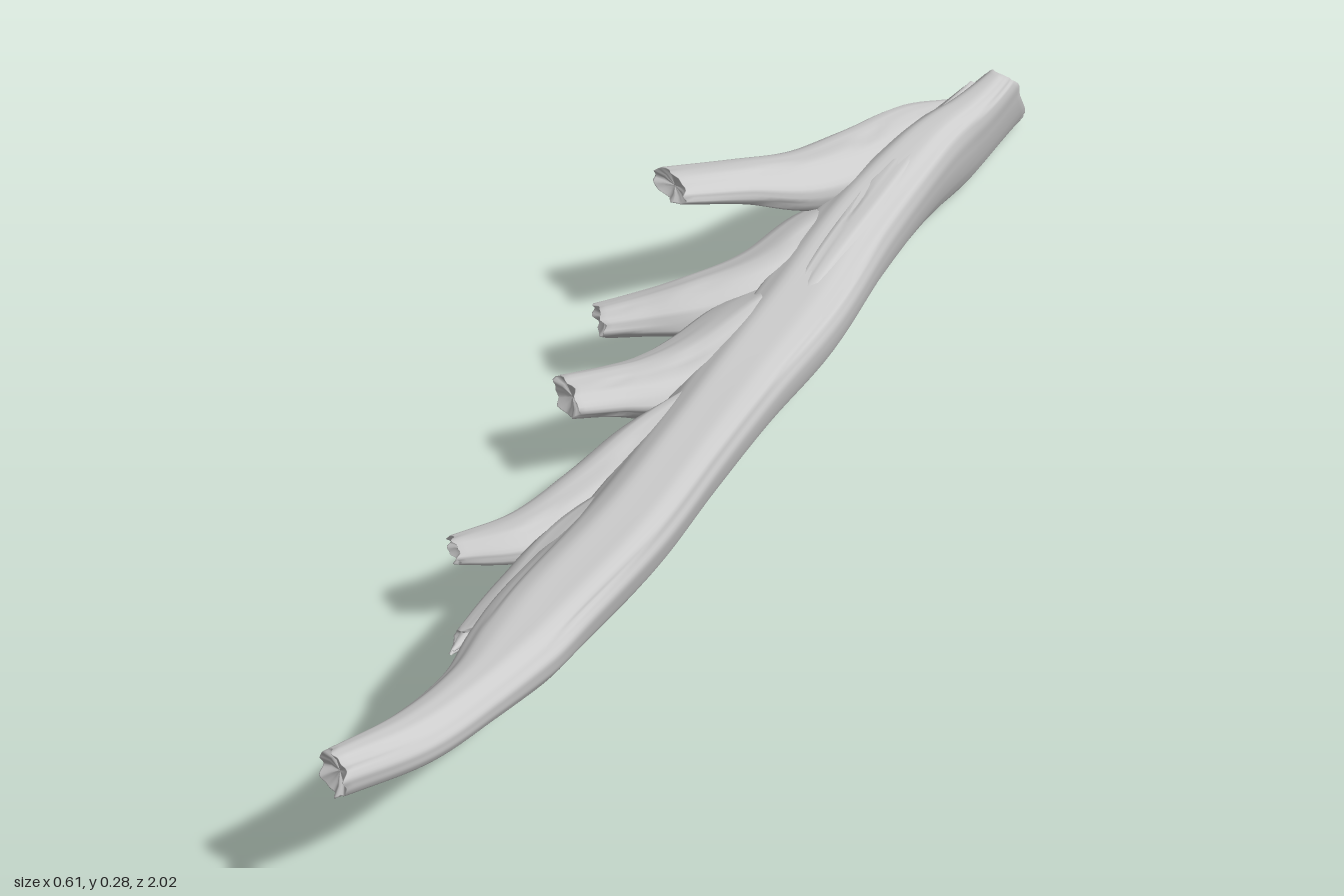
import * as THREE from 'three';

const material = new THREE.MeshStandardMaterial({ color: 0xcccccc, side: THREE.DoubleSide });
const UP = new THREE.Vector3(0, 1, 0);

// Wood grain: long ridges that twist slowly along the limb, with a few narrow cracks
function grain(a, t, seed) {
  const ridges = 0.5 * Math.sin(3 * a + seed + 2.5 * t)
    + 0.4 * Math.sin(7 * a + 2 * seed - 3 * t)
    + 0.25 * Math.sin(13 * a + seed + 4 * t);
  const crack = Math.pow(Math.max(0, Math.sin(4 * a + 3 * seed + 1.5 * t)), 24)
    * Math.max(0, Math.sin(19 * t + seed));
  return ridges - 1.3 * crack;
}

// Lofts a limb through stations [x, y, z, half width, half height], with hollow broken ends.
// slant tilts the back cut, lean tips the section sideways, square boxes it; all fade out at the tip.
function limb(name, stations, { sides = 36, steps = 36, amp = 0.07, seed = 0, slant = 0, lean = 0, square = 1, ragged = 0.003, hollow = 0.01 } = {}) {
  const path = new THREE.CatmullRomCurve3(stations.map(s => new THREE.Vector3(s[0], s[1], s[2])), false, 'catmullrom');
  const size = new THREE.CatmullRomCurve3(stations.map(s => new THREE.Vector3(s[3], s[4], 0)), false, 'catmullrom');
  const positions = [], index = [];
  let rings = 0;

  function ring(t, scale, push) {
    const c = path.getPoint(t), r = size.getPoint(t), T = path.getTangent(t);
    const S = new THREE.Vector3().crossVectors(UP, T).normalize();
    const U = new THREE.Vector3().crossVectors(T, S);
    const shear = slant * Math.max(0, 1 - t / 0.2);
    const nearEnd = Math.max(0, 1 - 12 * Math.min(t, 1 - t));
    const fade = THREE.MathUtils.smoothstep(t, 0.6, 0.95);
    const power = square + (1 - square) * fade;
    for (let j = 0; j < sides; j++) {
      const a = j / sides * Math.PI * 2;
      const k = scale * (1 + amp * grain(a, t, seed));
      const ca = Math.cos(a), sa = Math.sin(a);
      const v = r.y * k * Math.sign(sa) * Math.pow(Math.abs(sa), power);
      const u = r.x * k * Math.sign(ca) * Math.pow(Math.abs(ca), power) + v * lean * (1 - fade);
      const w = v * shear + push + scale * nearEnd * ragged * (Math.sin(5 * a + seed) + 0.6 * Math.sin(9 * a));
      const p = c.clone().addScaledVector(S, u).addScaledVector(U, v).addScaledVector(T, w);
      positions.push(p.x, Math.max(0, p.y), p.z);
    }
    rings++;
  }

  ring(0, 0, hollow); ring(0, 0.6, hollow * 0.7); ring(0, 0.95, 0);
  for (let i = 0; i <= steps; i++) ring(i / steps, 1, 0);
  ring(1, 0.94, 0); ring(1, 0.6, -0.006); ring(1, 0, -0.009);

  for (let i = 0; i < rings - 1; i++) {
    for (let j = 0; j < sides; j++) {
      const n = (j + 1) % sides;
      const a = i * sides + j, b = i * sides + n, c = a + sides, d = b + sides;
      index.push(a, b, c, b, d, c);
    }
  }
  const geometry = new THREE.BufferGeometry();
  geometry.setAttribute('position', new THREE.Float32BufferAttribute(positions, 3));
  geometry.setIndex(index);
  geometry.computeVertexNormals();
  const mesh = new THREE.Mesh(geometry, material);
  mesh.name = name;
  return mesh;
}

export function createModel() {
  const group = new THREE.Group();
  group.name = 'driftwood';

  // Main trunk: tall and slant-cut at the back, its crest leaning to the left, curled at the front
  group.add(limb('trunk', [
    [0.262, 0.107, -0.9, 0.032, 0.102],
    [0.207, 0.108, -0.75, 0.046, 0.102],
    [0.137, 0.106, -0.6, 0.062, 0.098],
    [0.07, 0.1, -0.4, 0.075, 0.087],
    [0.022, 0.092, -0.2, 0.08, 0.076],
    [-0.026, 0.1, 0, 0.072, 0.067],
    [-0.062, 0.12, 0.2, 0.067, 0.066],
    [-0.096, 0.146, 0.4, 0.067, 0.063],
    [-0.14, 0.182, 0.6, 0.066, 0.052],
    [-0.158, 0.2, 0.7, 0.06, 0.042],
    [-0.18, 0.217, 0.8, 0.043, 0.034],
    [-0.222, 0.231, 0.9, 0.036, 0.031],
    [-0.29, 0.241, 0.985, 0.026, 0.03],
  ], { sides: 72, steps: 130, amp: 0.035, seed: 1.3, slant: 1, lean: 0.34, square: 0.7, hollow: 0.06 }));

  // Broken side branches, flaring into the trunk at their roots
  const branches = [
    ['upperBranch', [
      [0.2, 0.12, -0.8, 0.015, 0.03], [0.133, 0.142, -0.67, 0.048, 0.056],
      [0.065, 0.155, -0.56, 0.06, 0.052], [0.0, 0.186, -0.45, 0.056, 0.042],
      [-0.08, 0.225, -0.37, 0.046, 0.028], [-0.165, 0.258, -0.29, 0.045, 0.02]]],
    ['rearBranch', [
      [0.12, 0.09, -0.56, 0.02, 0.04], [0.05, 0.102, -0.39, 0.074, 0.07],
      [-0.02, 0.105, -0.27, 0.074, 0.06], [-0.11, 0.112, -0.205, 0.056, 0.04],
      [-0.18, 0.112, -0.17, 0.043, 0.027], [-0.24, 0.112, -0.14, 0.034, 0.02]]],
    ['middleBranch', [
      [0.06, 0.09, -0.34, 0.02, 0.04], [-0.01, 0.1, -0.16, 0.07, 0.062],
      [-0.07, 0.112, -0.04, 0.068, 0.052], [-0.125, 0.124, 0.025, 0.056, 0.04],
      [-0.175, 0.138, 0.065, 0.046, 0.03], [-0.23, 0.15, 0.105, 0.042, 0.024]]],
    ['frontBranch', [
      [-0.03, 0.11, 0.0, 0.02, 0.04], [-0.095, 0.125, 0.18, 0.055, 0.05],
      [-0.15, 0.133, 0.3, 0.055, 0.038], [-0.215, 0.136, 0.395, 0.042, 0.028],
      [-0.298, 0.142, 0.45, 0.024, 0.016]]],
    ['frontStub', [
      [-0.07, 0.13, 0.25, 0.02, 0.04], [-0.13, 0.152, 0.43, 0.055, 0.046],
      [-0.17, 0.165, 0.56, 0.05, 0.038], [-0.207, 0.18, 0.675, 0.034, 0.026]]],
  ];
  branches.forEach(([name, stations], i) => {
    group.add(limb(name, stations, { seed: 2.1 * i + 0.6 }));
  });

  // Ridge of twisted fibres along the upper side of the trunk
  group.add(limb('topRidge', [
    [0.22, 0.165, -0.78, 0.02, 0.03], [0.16, 0.17, -0.6, 0.032, 0.032],
    [0.11, 0.163, -0.42, 0.035, 0.032], [0.065, 0.15, -0.26, 0.03, 0.028],
    [0.015, 0.13, -0.06, 0.015, 0.015]], { amp: 0.1, seed: 4 }));

  // Splinters on the torn stub
  const splinters = [[-0.222, 0.19, 0.67], [-0.208, 0.172, 0.68], [-0.228, 0.175, 0.66]];
  splinters.forEach(([x, y, z], i) => {
    group.add(limb('splinter', [
      [x + 0.02, y - 0.004, z - 0.05, 0.012, 0.009],
      [x, y, z, 0.009, 0.007],
      [x - 0.008, y + 0.003, z + 0.03, 0.002, 0.002]],
    { sides: 8, steps: 8, seed: i }));
  });

  return group;
}
